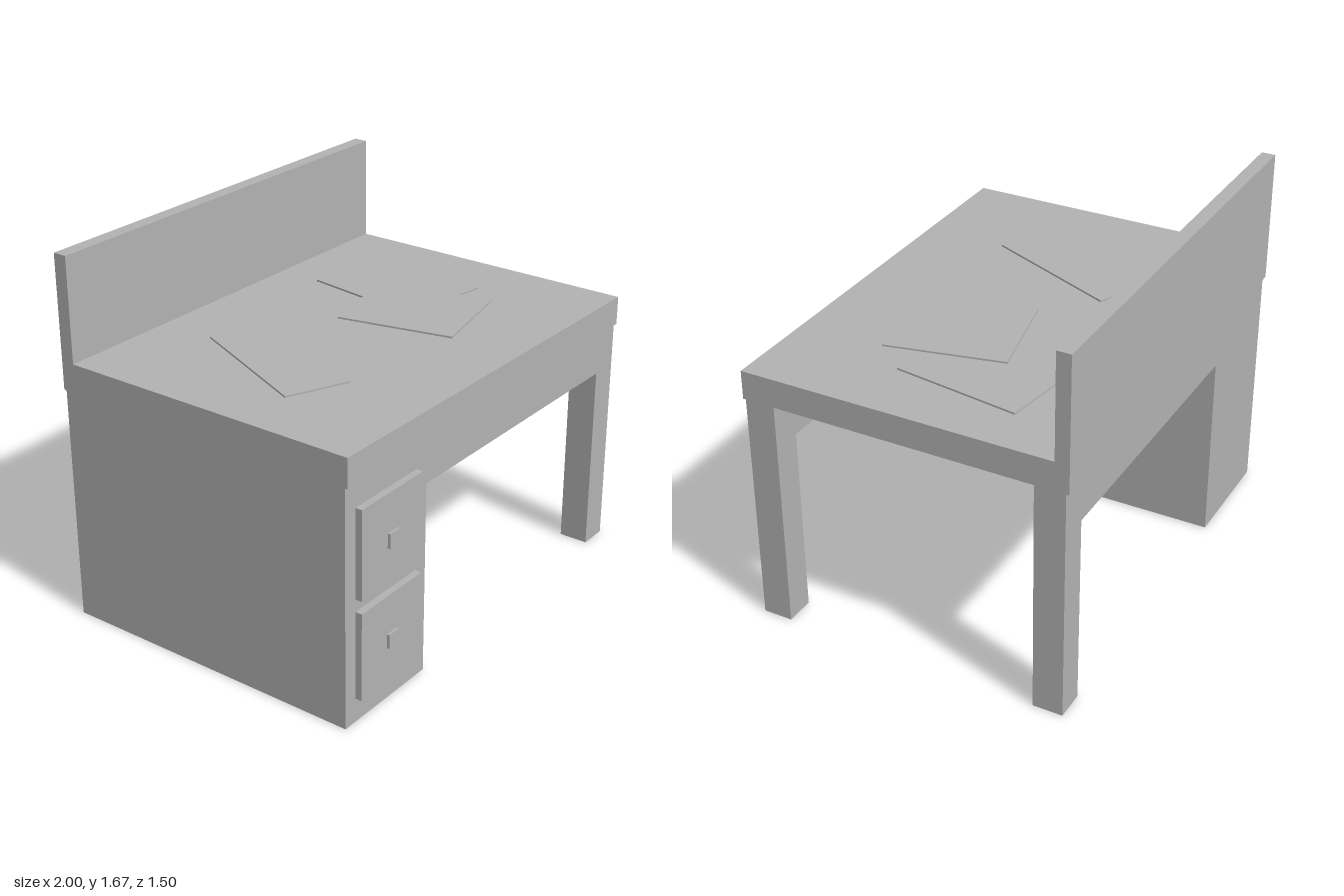
import * as THREE from 'three';

export function createModel() {
  const desk = new THREE.Group();
  desk.name = 'desk';
  const grey = new THREE.MeshStandardMaterial({ color: 0xb2b2b2 });
  grey.name = 'plain grey';

  // Box given by its extents along each axis
  function block(name, [x0, x1], [y0, y1], [z0, z1]) {
    const mesh = new THREE.Mesh(new THREE.BoxGeometry(x1 - x0, y1 - y0, z1 - z0), grey);
    mesh.name = name;
    mesh.position.set((x0 + x1) / 2, (y0 + y1) / 2, (z0 + z1) / 2);
    desk.add(mesh);
    return mesh;
  }

  // Top slab and upright back panel
  block('tabletop', [-1, 1], [1.07, 1.2], [-0.687, 0.72]);
  block('backPanel', [-1, 1], [1.07, 1.67], [-0.75, -0.687]);

  // Drawer cabinet
  block('cabinet', [-1, -0.47], [0, 1.07], [-0.737, 0.707]);

  // Legs and the aprons that join them to the cabinet
  const frontDepth = [0.572, 0.707];
  const backDepth = [-0.737, -0.602];
  for (const [side, depth] of [['front', frontDepth], ['back', backDepth]]) {
    block(side + 'Leg', [0.865, 1], [0, 1.07], depth);
    block(side + 'Apron', [-0.47, 0.865], [0.87, 1.07], depth);
  }

  // Drawer fronts with square knobs
  for (const [name, y] of [['upper', 0.763], ['lower', 0.309]]) {
    block(name + 'Drawer', [-0.936, -0.538], [y - 0.199, y + 0.199], [0.707, 0.738]);
    const k = y - 0.006;
    block(name + 'Knob', [-0.77, -0.706], [k - 0.032, k + 0.032], [0.738, 0.75]);
  }

  // Loose sheets: x, y, z, width, length, turn
  const sheets = [
    [-0.467, 1.208, -0.043, 0.292, 0.69, -0.414],
    [0.519, 1.208, -0.15, 0.454, 0.584, -0.143],
    [0.3, 1.218, 0.104, 0.465, 0.533, 0.213],
  ];
  for (const [x, y, z, w, l, turn] of sheets) {
    const sheet = block('paperSheet', [x - w / 2, x + w / 2], [y - 0.004, y + 0.004], [z - l / 2, z + l / 2]);
    sheet.rotation.y = turn;
  }

  return desk;
}
